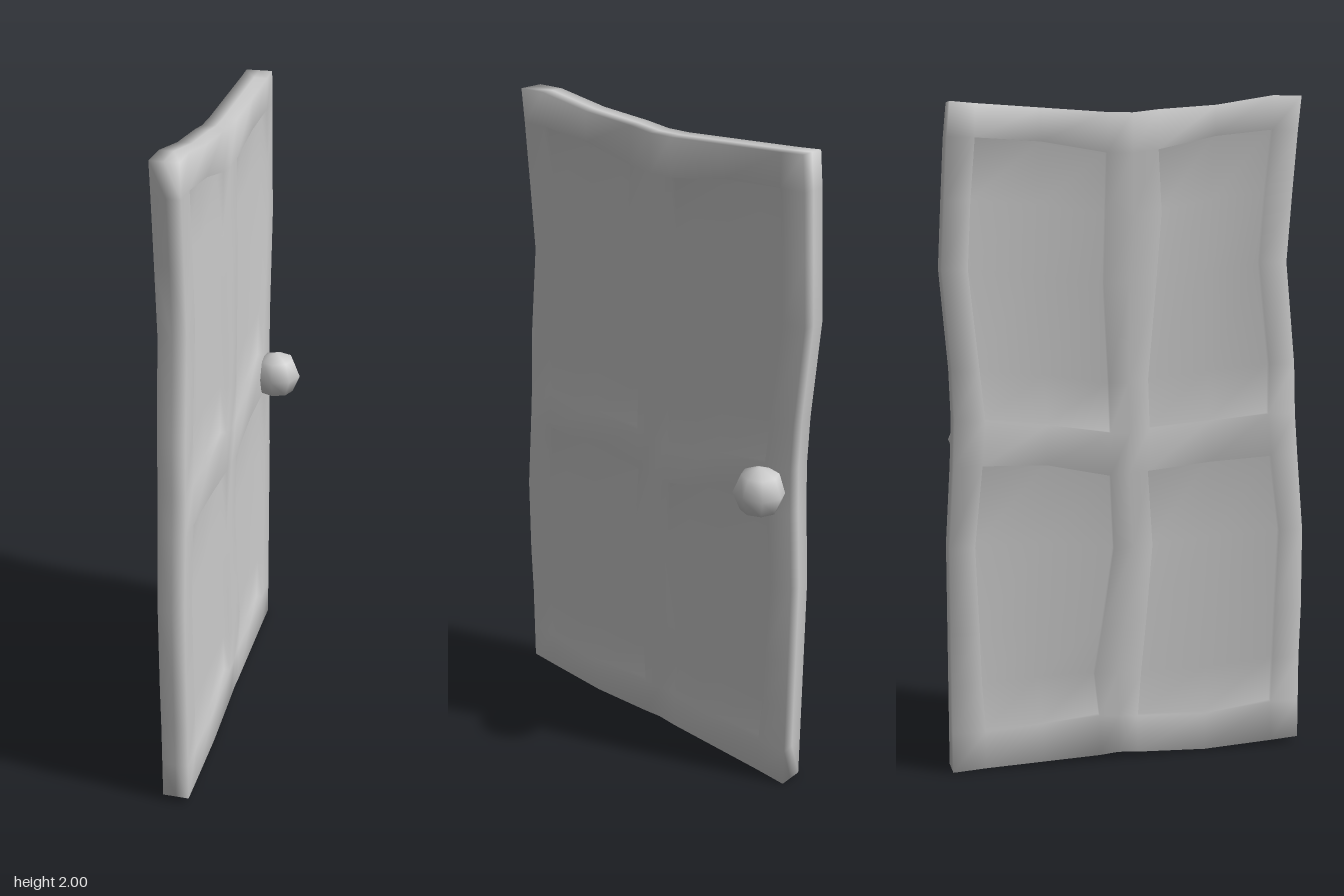
import * as THREE from 'three';
import { mergeVertices } from 'three/addons/utils/BufferGeometryUtils.js';

const CENTRE_X = -0.06, HALF = 0.04, RECESS = 0.02;

// Wavy rail lines: height at nine stations across the door, +z edge to -z edge
const RAILS = [
  [0.02, 0.015, 0.005, 0.015, 0.02, 0.015, 0.01, 0.005, 0],
  [0.14, 0.14, 0.12, 0.13, 0.135, 0.14, 0.13, 0.12, 0.12],
  [0.92, 0.92, 0.91, 0.89, 0.885, 0.88, 0.92, 0.925, 0.925],
  [1.05, 1.05, 1.035, 1.02, 1.01, 1.01, 1.04, 1.06, 1.06],
  [1.9, 1.9, 1.88, 1.84, 1.83, 1.83, 1.86, 1.87, 1.87],
  [2, 2, 1.97, 1.955, 1.945, 1.945, 1.955, 1.965, 1.97],
];

// Each row: position between rail lines, then z of edge, panel, panel, panel, panel, edge
const ROWS = [
  [0, 0.55, 0.46, 0.03, -0.09, -0.44, -0.54],
  [1, 0.55, 0.46, 0.03, -0.09, -0.44, -0.54],
  [1.18, 0.55, 0.465, 0.04, -0.105, -0.45, -0.54],
  [1.38, 0.555, 0.47, 0.055, -0.08, -0.455, -0.54],
  [1.7, 0.555, 0.48, 0.075, -0.045, -0.465, -0.54],
  [2, 0.535, 0.45, 0.06, -0.055, -0.44, -0.525],
  [3, 0.525, 0.44, 0.065, -0.055, -0.43, -0.52],
  [3.18, 0.52, 0.44, 0.06, -0.06, -0.445, -0.525],
  [3.54, 0.49, 0.405, 0.085, -0.075, -0.475, -0.55],
  [3.78, 0.505, 0.42, 0.1, -0.07, -0.465, -0.54],
  [4, 0.52, 0.44, 0.09, -0.065, -0.45, -0.53],
  [5, 0.53, 0.44, 0.09, -0.065, -0.45, -0.52],
];
const COLS = 9;

// Grid of [y, z] points shared by both faces
const grid = ROWS.map(([k, a, b, c, d, e, f]) => {
  const lower = Math.floor(k), upper = Math.ceil(k);
  const zs = [a, b, (b + c) / 2, c, (c + d) / 2, d, (d + e) / 2, e, f];
  return zs.map((z, j) => [THREE.MathUtils.lerp(RAILS[lower][j], RAILS[upper][j], k - lower), z]);
});

// Half thickness of a cell: frame, sunken panel, or nothing outside
function cellHalf(i, j) {
  if (i < 0 || j < 0 || i >= ROWS.length - 1 || j >= COLS - 1) return 0;
  const band = Math.floor(ROWS[i][0]);
  const panel = (band === 1 || band === 3) && [1, 2, 5, 6].includes(j);
  return panel ? HALF - RECESS : HALF;
}

function doorGeometry() {
  const pos = [];
  const quad = (side, corners) => {
    const p = corners.map(([[y, z], h]) => [CENTRE_X + side * h, y, z]);
    if (side < 0) p.reverse();
    for (const n of [0, 1, 2, 0, 2, 3]) pos.push(...p[n]);
  };
  for (const side of [1, -1]) {
    for (let i = 0; i < ROWS.length - 1; i++) {
      for (let j = 0; j < COLS - 1; j++) {
        const h = cellHalf(i, j);
        const c = [grid[i][j], grid[i][j + 1], grid[i + 1][j + 1], grid[i + 1][j]];
        quad(side, c.map((p) => [p, h]));
        // Walls down to any lower neighbour, including the outer rim
        const next = [[i - 1, j], [i, j + 1], [i + 1, j], [i, j - 1]];
        next.forEach(([ni, nj], n) => {
          const low = cellHalf(ni, nj);
          const a = c[n], b = c[(n + 1) % 4];
          if (low < h) quad(side, [[a, low], [b, low], [b, h], [a, h]]);
        });
      }
    }
  }
  const g = new THREE.BufferGeometry();
  g.setAttribute('position', new THREE.Float32BufferAttribute(pos, 3));
  const merged = mergeVertices(g, 1e-5);
  merged.computeVertexNormals();
  return merged;
}

export function createModel() {
  const group = new THREE.Group();
  group.name = 'door';
  const material = new THREE.MeshStandardMaterial({ color: 0xcccccc });

  // Warped four-panel slab
  const slab = new THREE.Mesh(doorGeometry(), material);
  slab.name = 'doorSlab';
  group.add(slab);

  // Faceted round knob on one face
  const knob = new THREE.Mesh(new THREE.SphereGeometry(0.078, 8, 4), material);
  knob.name = 'doorKnob';
  knob.position.set(0.021, 0.99, -0.445);
  group.add(knob);

  return group;
}
